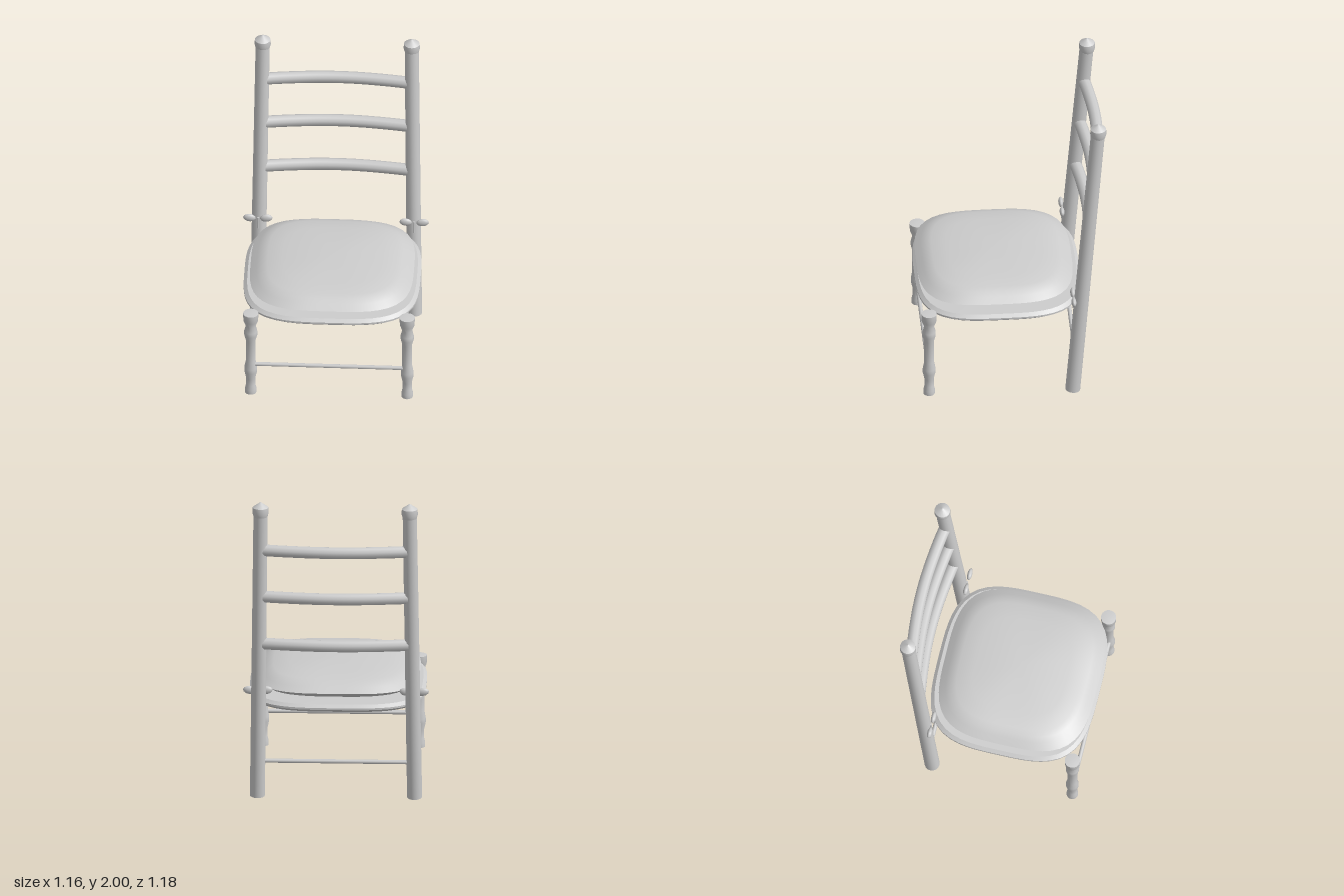
import * as THREE from 'three';
import { toCreasedNormals } from 'three/addons/utils/BufferGeometryUtils.js';

const lightGrey = new THREE.MeshStandardMaterial({ color: 0xcccccc });
lightGrey.name = 'lightGrey';

const V = (x, y, z) => new THREE.Vector3(x, y, z);

function add(parent, name, geometry) {
  const mesh = new THREE.Mesh(geometry, lightGrey);
  mesh.name = name;
  parent.add(mesh);
  return mesh;
}

// Straight round bar between two points
function bar(parent, name, a, b, ra, rb, sides = 16) {
  const mesh = add(parent, name, new THREE.CylinderGeometry(rb, ra, a.distanceTo(b), sides));
  mesh.position.copy(a).lerp(b, 0.5);
  mesh.quaternion.setFromUnitVectors(V(0, 1, 0), b.clone().sub(a).normalize());
  return mesh;
}

function lathe(points, sides = 16) {
  const geometry = new THREE.LatheGeometry(points.map(([r, y]) => new THREE.Vector2(r, y)), sides);
  return toCreasedNormals(geometry, 0.75);
}

// Closed solid from scaled rounded-square outlines; profile runs bottom to top as [scale, y]
function pillow(profile, halfX, halfZ, centreZ, power, crease) {
  const sides = 64, position = [], index = [];
  for (const [s, y] of profile) {
    for (let i = 0; i < sides; i++) {
      const t = (i / sides) * Math.PI * 2, c = Math.cos(t), d = Math.sin(t);
      const k = s / Math.pow(Math.abs(c) ** power + Math.abs(d) ** power, 1 / power);
      position.push(c * k * halfX, y, centreZ + d * k * halfZ);
    }
  }
  for (let j = 0; j < profile.length - 1; j++) {
    for (let i = 0; i < sides; i++) {
      const a = j * sides + i, b = j * sides + (i + 1) % sides;
      index.push(a, a + sides, b, b, a + sides, b + sides);
    }
  }
  const geometry = new THREE.BufferGeometry();
  geometry.setAttribute('position', new THREE.Float32BufferAttribute(position, 3));
  geometry.setIndex(index);
  return toCreasedNormals(geometry, crease);
}

// Centre of the leaning back post at height y
const postAt = (side, y) => V(side * (0.49 - 0.025 * y / 1.93), y, -0.37 - 0.16 * y / 1.93);

export function createModel() {
  const chair = new THREE.Group();
  chair.name = 'chair';

  const finial = [[0, 1.9], [0.044, 1.905], [0.051, 1.93], [0.049, 1.965], [0, 2]];
  const turnedLeg = [[0, 0.02], [0.036, 0.02], [0.036, 0.05], [0.029, 0.08], [0.029, 0.13], [0.04, 0.18],
    [0.04, 0.21], [0.031, 0.26], [0.031, 0.42], [0.041, 0.46], [0.041, 0.49], [0.031, 0.53],
    [0.046, 0.57], [0.048, 0.625], [0, 0.63]];

  for (const side of [-1, 1]) {
    // Back post with finial
    bar(chair, 'backPost', postAt(side, 0.004), postAt(side, 1.93), 0.047, 0.044);
    const knob = add(chair, 'finial', lathe(finial));
    knob.position.set(side * 0.465, 0, -0.532);

    // Turned front leg
    const leg = add(chair, 'frontLeg', lathe(turnedLeg));
    leg.position.set(side * 0.488, 0, 0.527);

    // Cushion tie: two bow loops and a hanging strand
    for (const [x, lean] of [[0.54, 1], [0.435, -1]]) {
      const loop = add(chair, 'tieLoop', new THREE.SphereGeometry(1, 10, 6));
      loop.scale.set(0.04, 0.026, 0.016);
      loop.position.set(side * x, 0.7, -0.374);
      loop.rotation.z = side * lean * 0.12;
    }
    bar(chair, 'tieStrand', V(side * 0.486, 0.62, -0.376), V(side * 0.486, 0.7, -0.38), 0.006, 0.008, 6);
  }

  // Bowed back rungs
  for (const y of [1.04, 1.36, 1.675]) {
    const { x, z } = postAt(1, y);
    const path = new THREE.CatmullRomCurve3([
      V(-x, y, z), V(-0.41, y, z - 0.012), V(-0.12, y, z - 0.042),
      V(0.12, y, z - 0.042), V(0.41, y, z - 0.012), V(x, y, z),
    ]);
    add(chair, 'backRung', new THREE.TubeGeometry(path, 16, 0.038, 10));
  }

  // Low stretchers
  bar(chair, 'frontStretcher', V(-0.488, 0.24, 0.535), V(0.488, 0.24, 0.535), 0.013, 0.013, 10);
  const left = postAt(1, 0.24), right = postAt(-1, 0.24);
  bar(chair, 'backStretcher', right, left, 0.013, 0.013, 10);

  // Seat board and cushion
  add(chair, 'seatBoard', pillow(
    [[0, 0.58], [0.96, 0.58], [1, 0.598], [1, 0.61], [0.96, 0.628], [0, 0.63]], 0.55, 0.515, 0.07, 3.4, 0.5));
  add(chair, 'cushion', pillow(
    [[0, 0.632], [0.8, 0.636], [0.9, 0.655], [1, 0.688], [0.92, 0.718], [0.86, 0.737], [0.79, 0.75],
      [0.6, 0.764], [0.3, 0.775], [0, 0.778]], 0.51, 0.485, 0.087, 3.4, 0.7));

  return chair;
}
